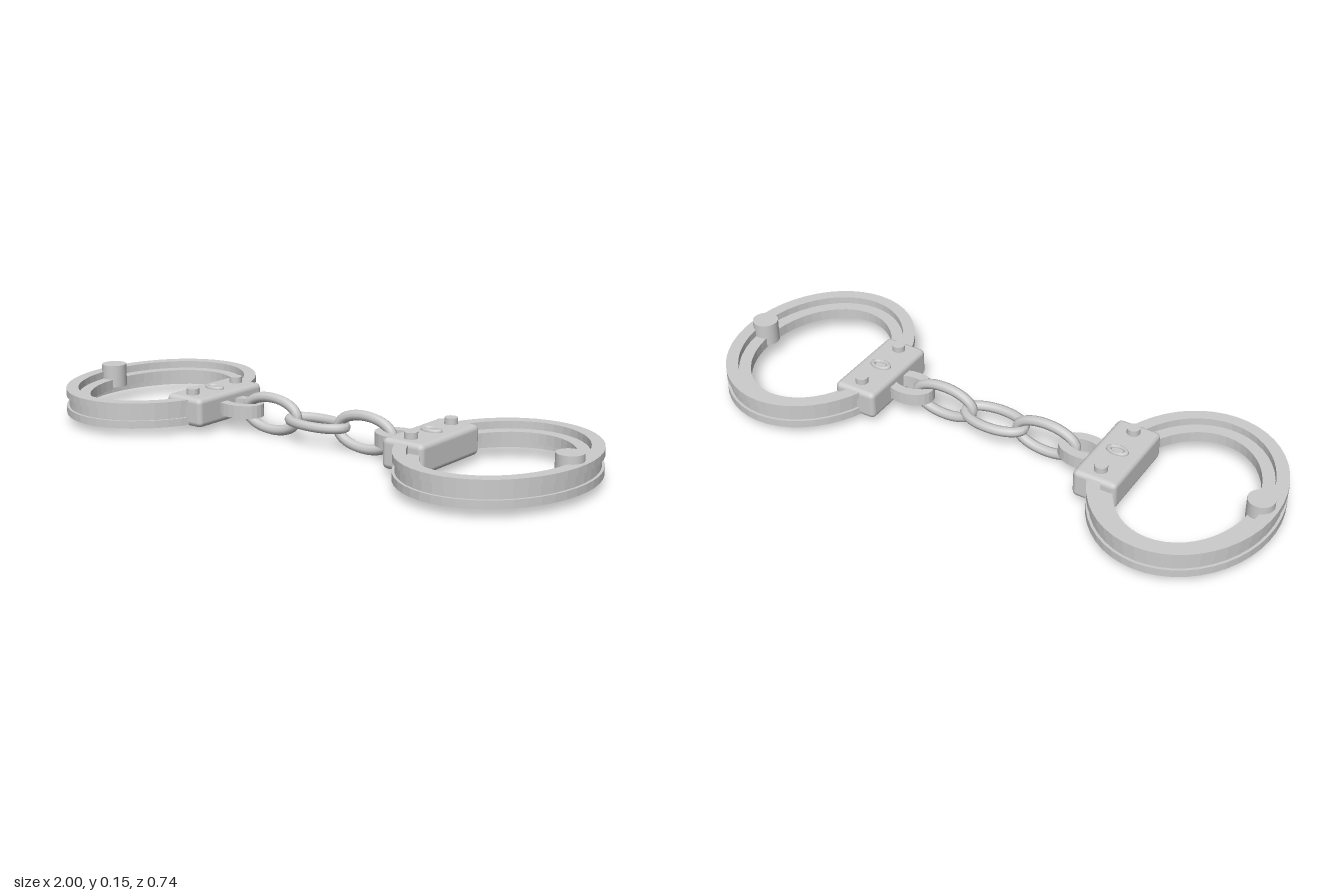
import * as THREE from 'three';
import { RoundedBoxGeometry } from 'three/addons/geometries/RoundedBoxGeometry.js';

const steel = new THREE.MeshStandardMaterial({ color: 0xcccccc });
const MID = 0.073; // height of the chain's centre line

function part(parent, name, geometry, x = 0, y = 0, z = 0) {
  const mesh = new THREE.Mesh(geometry, steel);
  mesh.name = name;
  mesh.position.set(x, y, z);
  parent.add(mesh);
  return mesh;
}

// Flat oval ring lying in the ground plane, from y0 to y1
function ovalRing(rx, rz, width, y0, y1, segments = 24) {
  const shape = new THREE.Shape().absellipse(0, 0, rx, rz, 0, Math.PI * 2);
  shape.holes.push(new THREE.Path().absellipse(0, 0, rx - width, rz - width, 0, Math.PI * 2, true));
  return new THREE.ExtrudeGeometry(shape, { depth: y1 - y0, bevelEnabled: false, curveSegments: segments })
    .rotateX(-Math.PI / 2)
    .translate(0, y0, 0);
}

// Oval chain link of round wire, standing in the xy plane
function linkGeometry(rx, ry, wire) {
  const points = [];
  for (let i = 0; i < 32; i++) {
    const a = (i / 32) * Math.PI * 2;
    points.push(new THREE.Vector3(Math.cos(a) * (rx - wire), Math.sin(a) * (ry - wire), 0));
  }
  return new THREE.TubeGeometry(new THREE.CatmullRomCurve3(points, true), 40, wire, 8, true);
}

function createCuff(side) {
  const cuff = new THREE.Group();
  cuff.name = side > 0 ? 'leftCuff' : 'rightCuff';
  const ringX = side * 0.7, lockX = side * 0.452;

  // Two outer cheeks with a deeper ring between them
  part(cuff, 'lowerCheek', ovalRing(0.3, 0.368, 0.042, 0.028, 0.054), ringX);
  part(cuff, 'middleRing', ovalRing(0.291, 0.359, 0.074, 0.054, 0.09), ringX);
  part(cuff, 'upperCheek', ovalRing(0.3, 0.368, 0.042, 0.09, 0.115), ringX);
  part(cuff, 'hingePin', new THREE.CylinderGeometry(0.044, 0.044, 0.08, 24), side * 0.942, 0.1);

  // Lock housing with rivets and keyhole rim
  part(cuff, 'lockHousing', new RoundedBoxGeometry(0.154, 0.1, 0.322, 2, 0.018), lockX, MID);
  for (const z of [-0.11, 0.11]) {
    part(cuff, 'rivet', new THREE.CylinderGeometry(0.022, 0.022, 0.034, 16), lockX, 0.127, z);
  }
  const rim = new THREE.TorusGeometry(0.03, 0.009, 8, 24).rotateX(Math.PI / 2).scale(1, 1, 0.6);
  part(cuff, 'keyholeRim', rim, lockX, 0.124);

  // Flat eye that holds the chain
  part(cuff, 'chainEye', ovalRing(0.09, 0.064, 0.034, 0.051, 0.095, 12), side * 0.334);
  return cuff;
}

export function createModel() {
  const model = new THREE.Group();
  model.name = 'handcuffs';
  for (const side of [-1, 1]) model.add(createCuff(side));

  // Three links, the middle one lying flat
  const chain = new THREE.Group();
  chain.name = 'chain';
  for (const i of [-1, 0, 1]) {
    const link = part(chain, 'chainLink', linkGeometry(0.127, 0.07, 0.017), i * 0.195, MID);
    if (i === 0) link.rotation.x = Math.PI / 2;
    else link.scale.y = MID / 0.07;
  }
  model.add(chain);
  return model;
}
